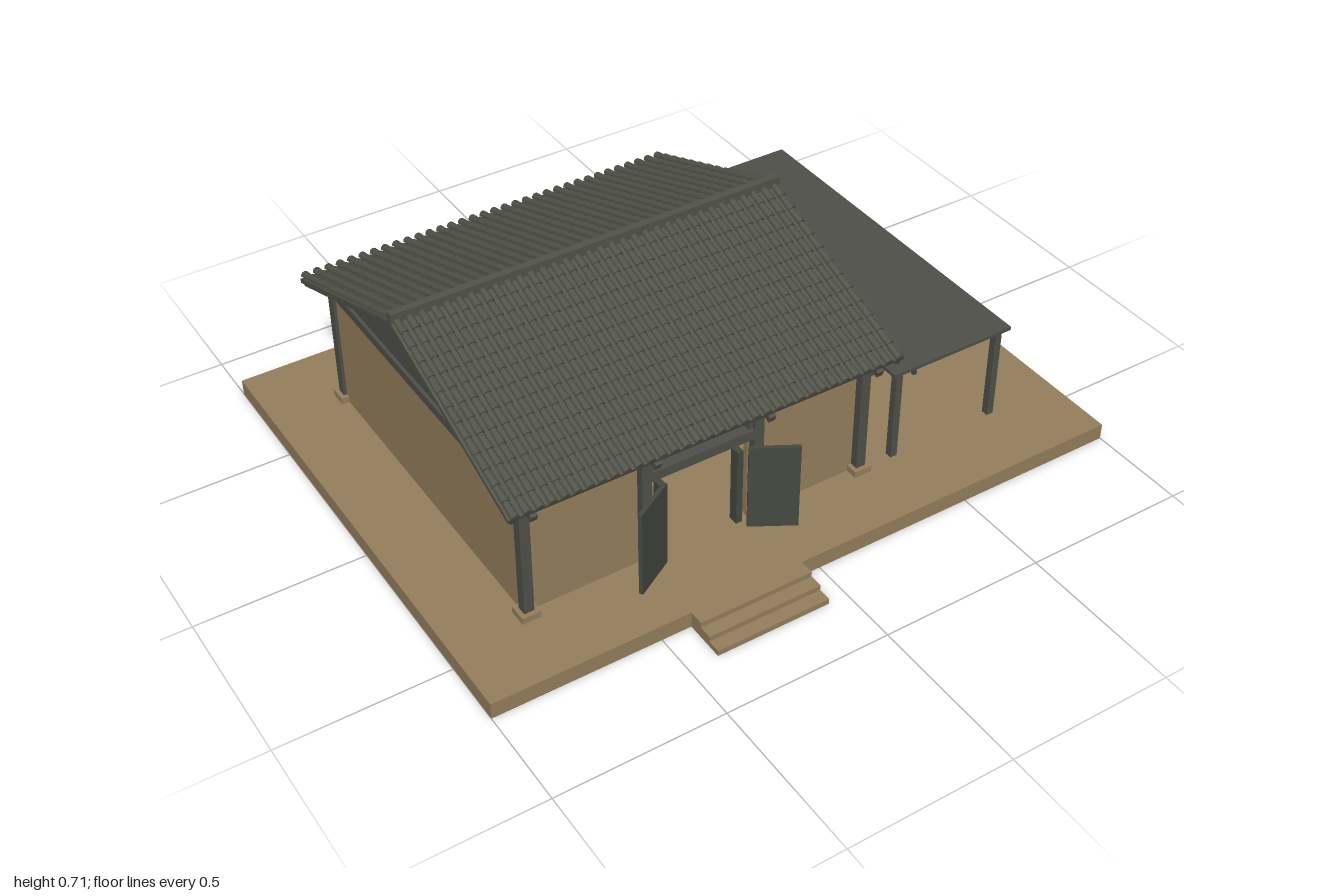
import * as THREE from 'three';
import { mergeGeometries } from 'three/addons/utils/BufferGeometryUtils.js';

const mat = (name, color) => new THREE.MeshStandardMaterial({ name, color, side: THREE.DoubleSide });

export function createModel() {
  const clay = mat('clay', 0x957f5d);
  const wood = mat('greyWood', 0x4f5049);
  const dark = mat('doorWood', 0x454941);
  const tile = mat('roofTile', 0x525348);
  const model = new THREE.Group();
  model.name = 'tiledHouse';

  // Box given by its min and max on each axis
  const box = (name, m, x0, x1, y0, y1, z0, z1, parent = model) => {
    const mesh = new THREE.Mesh(new THREE.BoxGeometry(x1 - x0, y1 - y0, z1 - z0), m);
    mesh.position.set((x0 + x1) / 2, (y0 + y1) / 2, (z0 + z1) / 2);
    mesh.name = name;
    parent.add(mesh);
    return mesh;
  };

  // Ground slab and entrance steps
  box('platform', clay, -1, 1, 0, 0.05, -0.83, 0.7);
  [0.745, 0.785, 0.825].forEach((z, i) =>
    box('step', clay, -0.41, -0.06, 0, 0.05 - i * 0.0165, 0.7, z));

  // Walls, with an open doorway and transom in the front
  box('frontWallRight', clay, -0.77, -0.39, 0.05, 0.44, 0.445, 0.465);
  box('frontWallLeft', clay, -0.08, 0.29, 0.05, 0.44, 0.445, 0.465);
  box('backWall', clay, -0.77, 0.29, 0.05, 0.44, -0.585, -0.565);
  box('sideWallRight', clay, -0.775, -0.755, 0.05, 0.42, -0.585, 0.465);
  box('sideWallLeft', clay, 0.275, 0.295, 0.05, 0.42, -0.585, 0.465);

  // Posts on stone feet
  const columns = [-0.77, -0.41, -0.06, 0.29];
  for (const z of [0.475, -0.595]) {
    columns.forEach((x, i) => {
      box('post', wood, x - 0.015, x + 0.015, 0.05, 0.46, z - 0.015, z + 0.015);
      if (z < 0 || i % 3 === 0) box('postFoot', clay, x - 0.028, x + 0.028, 0.05, 0.07, z - 0.028, z + 0.028);
    });
    box('eaveBeam', wood, -0.79, 0.31, 0.425, 0.45, z - 0.013, z + 0.013);
  }

  // Gables and side tie beams
  const gableShape = new THREE.Shape([
    new THREE.Vector2(-0.6, 0.45), new THREE.Vector2(0.48, 0.45), new THREE.Vector2(-0.06, 0.66),
  ]);
  for (const x of [-0.765, 0.285]) {
    const g = new THREE.ExtrudeGeometry(gableShape, { depth: 0.02, bevelEnabled: false });
    g.rotateY(-Math.PI / 2);
    const gable = new THREE.Mesh(g, wood);
    gable.position.x = x + 0.01;
    gable.name = 'gable';
    model.add(gable);
    box('tieBeam', wood, x - 0.015, x + 0.015, 0.415, 0.428, -0.6, 0.48);
    box('upperTieBeam', wood, x - 0.02, x + 0.02, 0.434, 0.452, -0.61, 0.49);
  }

  // Door frame and transom
  box('lintel', wood, -0.4, -0.07, 0.335, 0.365, 0.455, 0.49);
  box('transomHead', wood, -0.4, -0.07, 0.415, 0.43, 0.455, 0.485);
  for (const s of [-1, 1]) {
    const c = -0.235 + s * 0.155;
    box('transomSide', wood, c - 0.008, c + 0.008, 0.36, 0.42, 0.455, 0.48);
    const j = -0.235 + s * 0.122;
    box('doorJamb', dark, j - 0.01, j + 0.01, 0.05, 0.3, 0.45, 0.48);
    // Door leaf swung outward
    const leaf = new THREE.Group();
    leaf.name = 'doorLeaf';
    leaf.position.set(-0.235 + s * 0.13, 0, 0.505);
    leaf.rotation.y = s > 0 ? -0.53 : Math.PI + 0.53;
    box('leafPanel', dark, 0, 0.14, 0.055, 0.33, -0.006, 0.006, leaf);
    model.add(leaf);
  }

  // Roof: two mirrored slopes covered with rows of overlapping tiles
  const width = 1.21, slope = Math.atan(0.377), length = 0.645;
  const cols = 34, rows = 13, pitch = width / cols, rowLen = length / rows;
  const tiles = [];
  for (let c = 0; c < cols; c++) {
    for (let r = 0; r < rows; r++) {
      const g = new THREE.CylinderGeometry(0.0125, 0.01, rowLen * 1.1, 6, 1, false, Math.PI / 2, Math.PI);
      g.rotateX(Math.PI / 2);
      g.rotateX(-0.06);
      g.translate((c + 0.5) * pitch - width / 2, 0.003, (r + 0.5) * rowLen);
      tiles.push(g);
    }
  }
  const tileGeo = mergeGeometries(tiles);
  for (const turn of [0, Math.PI]) {
    const side = new THREE.Group();
    side.name = 'roofSlope';
    side.position.set(-0.235, 0.685, -0.06);
    side.rotation.y = turn;
    const tilted = new THREE.Group();
    tilted.rotation.x = slope;
    side.add(tilted);
    model.add(side);
    const cover = new THREE.Mesh(tileGeo, tile);
    cover.name = 'roofTiles';
    tilted.add(cover);
    box('roofDeck', tile, -width / 2, width / 2, -0.012, 0, 0, length, tilted);
    // Rafters over the posts and purlins reaching the gable ends
    for (const x of columns) {
      const lx = (x + 0.235) * (turn ? -1 : 1);
      box('rafter', wood, lx - 0.01, lx + 0.01, -0.032, -0.012, 0, length + 0.01, tilted);
    }
    for (const z of [0.2, 0.4, 0.57])
      box('purlin', wood, -0.57, 0.57, -0.03, -0.012, z - 0.01, z + 0.01, tilted);
    for (const x of [-0.59, 0.59])
      box('bargeBoard', wood, x - 0.007, x + 0.007, -0.024, -0.01, 0, length, tilted);
  }
  box('ridgeCap', tile, -0.84, 0.37, 0.68, 0.71, -0.071, -0.049);
  const ridge = new THREE.Mesh(new THREE.CylinderGeometry(0.016, 0.016, 1.17, 10), wood);
  ridge.rotation.z = Math.PI / 2;
  ridge.position.set(-0.235, 0.662, -0.06);
  ridge.name = 'ridgePurlin';
  model.add(ridge);

  // Flat side canopy
  box('canopyTop', wood, 0.38, 0.79, 0.35, 0.361, -0.62, 0.5);
  for (const x of [0.41, 0.76])
    for (const z of [-0.595, 0.475])
      box('canopyPost', wood, x - 0.011, x + 0.011, 0.05, 0.35, z - 0.011, z + 0.011);

  // Table with three small dishes
  box('tableTop', wood, 0.46, 0.71, 0.126, 0.137, 0.12, 0.235);
  for (const x of [0.478, 0.692])
    for (const z of [0.137, 0.218])
      box('tableLeg', dark, x - 0.006, x + 0.006, 0.05, 0.126, z - 0.006, z + 0.006);
  for (const x of [0.53, 0.57, 0.61])
    box('dish', dark, x - 0.013, x + 0.013, 0.137, 0.143, 0.155, 0.2);

  return model;
}
